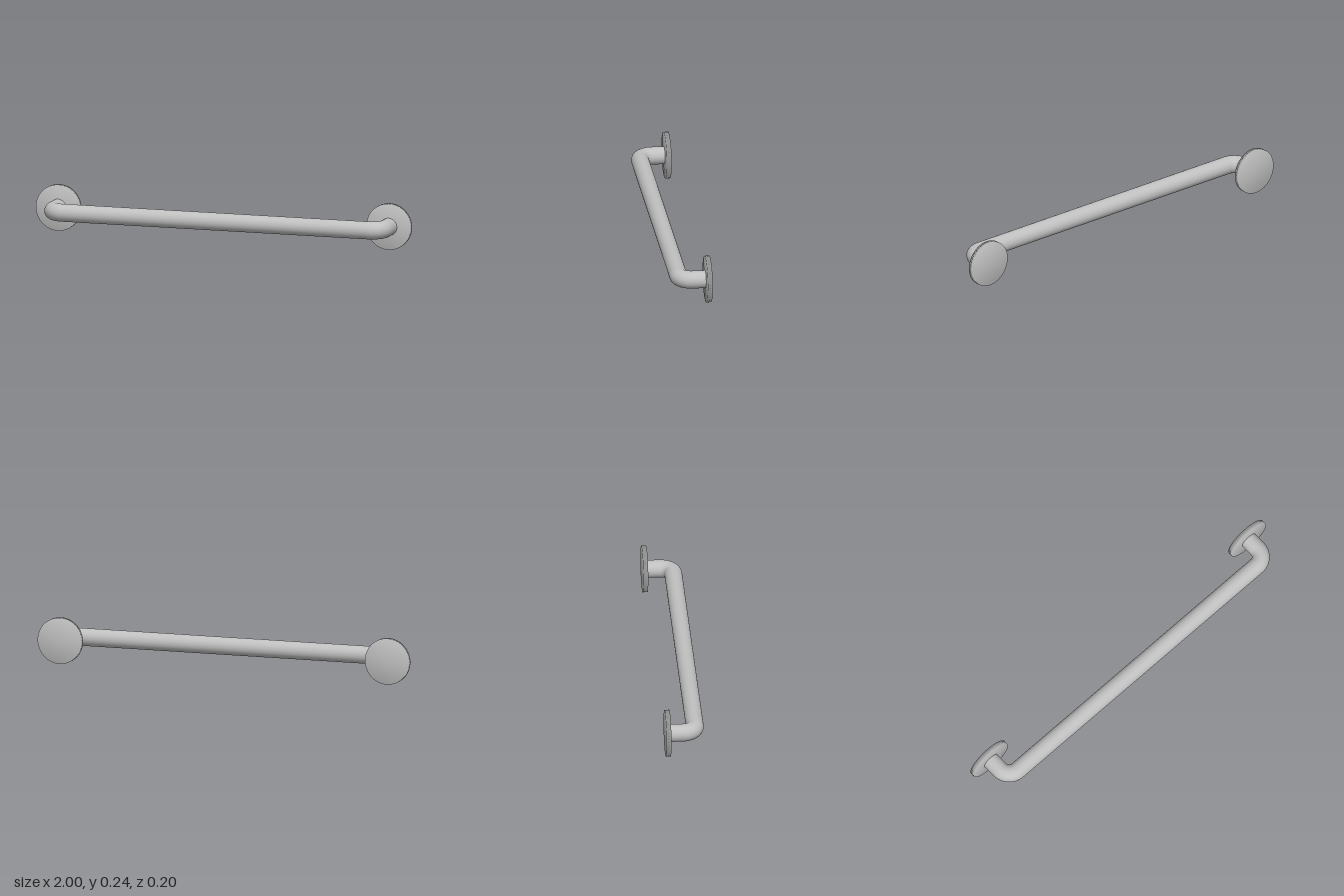
import * as THREE from 'three';
import { mergeVertices } from 'three/addons/utils/BufferGeometryUtils.js';

const CY = 0.118;        // height of the tube and flange axes
const LEG_X = 0.882;     // distance of each mount from the centre
const TUBE_R = 0.045;
const BEND_R = 0.065;    // centre-line radius of the elbows
const BAR_Z = 0.055;
const BACK_Z = -0.1;
const FLANGE_R = 0.118;
const FLANGE_T = 0.025;
const SIDES = 32;

export function createModel() {
  const group = new THREE.Group();
  const metal = new THREE.MeshStandardMaterial({ color: 0xc0c0c0 });
  metal.name = 'brushed metal';

  const add = (name, geometry, x, z) => {
    const mesh = new THREE.Mesh(geometry, metal);
    mesh.name = name;
    mesh.position.set(x, CY, z);
    group.add(mesh);
  };

  // Straight grip between the two elbows
  const bendX = LEG_X - BEND_R;
  const bendZ = BAR_Z - BEND_R;
  const grip = new THREE.CylinderGeometry(TUBE_R, TUBE_R, 2 * bendX, SIDES, 1, true);
  add('gripBar', grip.rotateZ(Math.PI / 2), 0, BAR_Z);

  // Wall flange, with normals shared over the rim for a soft edge
  const disc = new THREE.CylinderGeometry(FLANGE_R, FLANGE_R, FLANGE_T, 48);
  disc.rotateX(Math.PI / 2);
  disc.deleteAttribute('normal');
  disc.deleteAttribute('uv');
  const flange = mergeVertices(disc, 1e-5);
  flange.computeVertexNormals();

  // Leg from the flange to the start of the elbow
  const legStart = BACK_Z + FLANGE_T / 2;
  const legLength = bendZ - legStart;
  const leg = new THREE.CylinderGeometry(TUBE_R, TUBE_R, legLength, SIDES, 1, true);
  leg.rotateX(Math.PI / 2);

  for (const [side, s] of [['left', 1], ['right', -1]]) {
    // Quarter-torus elbow, turned to face its own end
    const elbow = new THREE.TorusGeometry(BEND_R, TUBE_R, SIDES, 16, Math.PI / 2);
    if (s < 0) elbow.rotateZ(Math.PI / 2);
    elbow.rotateX(Math.PI / 2);
    add(side + 'Elbow', elbow, s * bendX, bendZ);
    add(side + 'Leg', leg, s * LEG_X, legStart + legLength / 2);
    add(side + 'Flange', flange, s * LEG_X, BACK_Z + FLANGE_T / 2);
  }
  return group;
}
